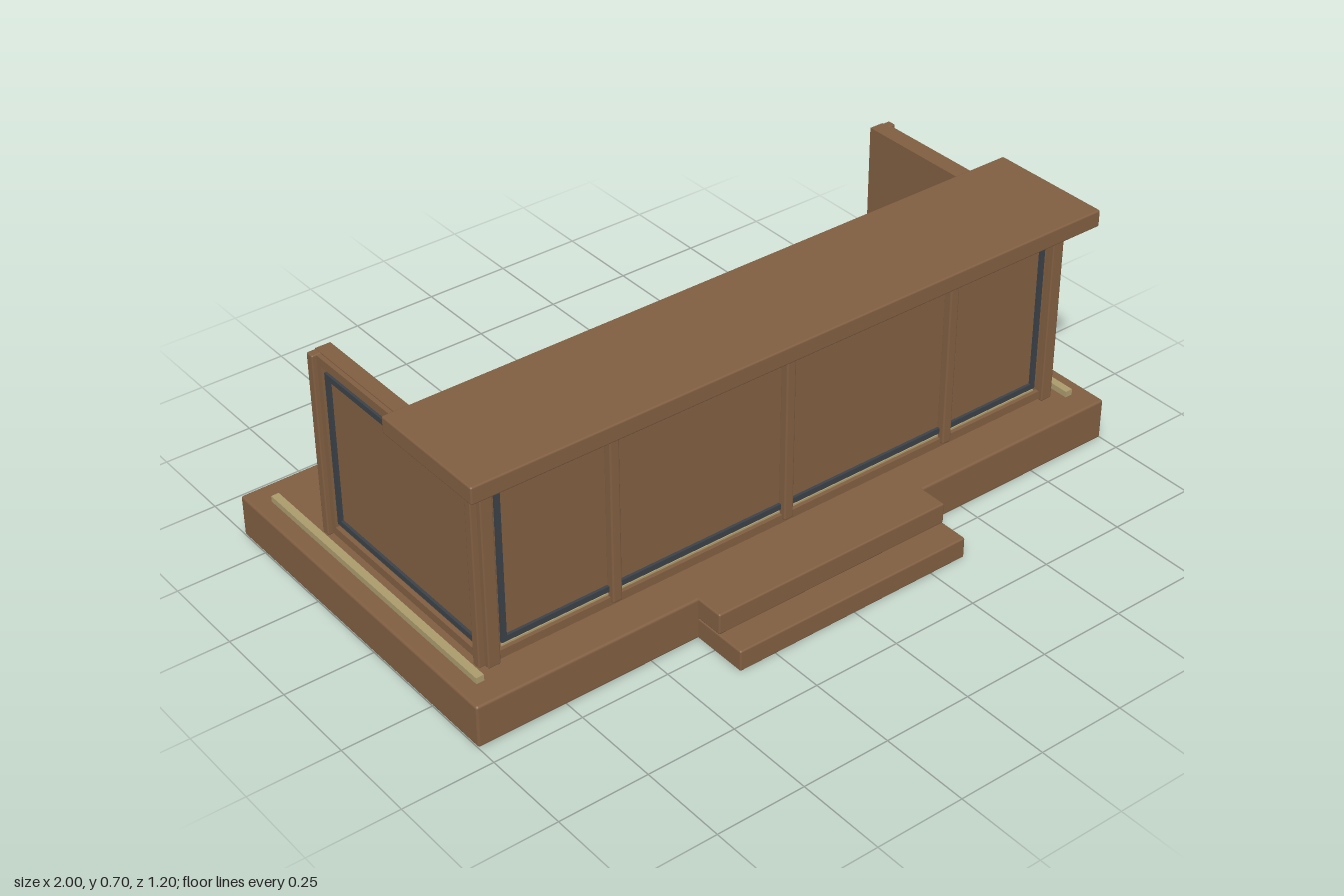
import * as THREE from 'three';
import { RoundedBoxGeometry } from 'three/addons/geometries/RoundedBoxGeometry.js';

export function createModel() {
  const model = new THREE.Group();
  const wood = new THREE.MeshStandardMaterial({ color: 0x805e41 });
  wood.name = 'brown wood';
  const slate = new THREE.MeshStandardMaterial({ color: 0x3b4148 });
  slate.name = 'slate inlay';
  const brass = new THREE.MeshStandardMaterial({ color: 0xaa9a6c });
  brass.name = 'pale brass';

  // box given by its minimum and maximum corners, with an optional rounded edge
  function box(name, mat, [x0, x1], [y0, y1], [z0, z1], r = 0, parent = model) {
    const size = [x1 - x0, y1 - y0, z1 - z0];
    const geo = r ? new RoundedBoxGeometry(...size, 2, r) : new THREE.BoxGeometry(...size);
    const mesh = new THREE.Mesh(geo, mat);
    mesh.position.set((x0 + x1) / 2, (y0 + y1) / 2, (z0 + z1) / 2);
    mesh.name = name;
    parent.add(mesh);
    return mesh;
  }

  // flat rectangular frame facing +z, centred in x
  function frame(name, mat, halfW, y0, y1, wx, wy, z, depth, parent) {
    const shape = new THREE.Shape([
      new THREE.Vector2(-halfW, y0), new THREE.Vector2(halfW, y0),
      new THREE.Vector2(halfW, y1), new THREE.Vector2(-halfW, y1),
    ]);
    shape.holes.push(new THREE.Path([
      new THREE.Vector2(-halfW + wx, y0 + wy), new THREE.Vector2(-halfW + wx, y1 - wy),
      new THREE.Vector2(halfW - wx, y1 - wy), new THREE.Vector2(halfW - wx, y0 + wy),
    ]));
    const mesh = new THREE.Mesh(new THREE.ExtrudeGeometry(shape, { depth, bevelEnabled: false }), mat);
    mesh.position.z = z;
    mesh.name = name;
    parent.add(mesh);
  }

  // platform, steps and counter top
  box('platform', wood, [-1, 1], [0, 0.12], [-0.6, 0.44], 0.007);
  box('lowerStep', wood, [-0.36, 0.36], [0, 0.06], [0.42, 0.6], 0.005);
  box('upperStep', wood, [-0.36, 0.36], [0.06, 0.12], [0.42, 0.52], 0.005);
  box('counterTop', wood, [-0.96, 0.96], [0.648, 0.696], [0.05, 0.405], 0.005);

  // front wall with frame, inlay and battens
  const front = new THREE.Group();
  front.name = 'frontWall';
  model.add(front);
  box('frontPanel', wood, [-0.89, 0.89], [0.12, 0.648], [0.27, 0.322], 0, front);
  frame('frontFrame', wood, 0.885, 0.125, 0.645, 0.022, 0.024, 0.322, 0.013, front);
  frame('frontInlay', slate, 0.85, 0.163, 0.606, 0.014, 0.016, 0.322, 0.008, front);
  box('frontTrim', brass, [-0.85, 0.85], [0.151, 0.156], [0.322, 0.326], 0, front);
  for (const x of [-0.527, 0, 0.527]) {
    box('batten', wood, [x - 0.014, x + 0.014], [0.135, 0.642], [0.318, 0.345], 0.005, front);
  }

  // side walls, floor strips and corner posts, mirrored
  for (const s of [-1, 1]) {
    const span = (a, b) => (s > 0 ? [a, b] : [-b, -a]);
    const label = s > 0 ? 'left' : 'right';
    box(label + 'SidePanel', wood, span(0.85, 0.892), [0.12, 0.648], [-0.345, 0.32]);
    const trim = new THREE.Group();
    trim.name = label + 'SideTrim';
    trim.rotation.y = s * Math.PI / 2;
    model.add(trim);
    frame('sideFrame', wood, 0.322, 0.125, 0.645, 0.018, 0.024, 0.892, 0.012, trim);
    frame('sideInlay', slate, 0.298, 0.163, 0.606, 0.016, 0.016, 0.892, 0.008, trim);
    box(label + 'BackPost', wood, span(0.885, 0.917), [0.12, 0.647], [-0.345, -0.32], 0.004);
    box(label + 'FrontPost', wood, span(0.885, 0.917), [0.12, 0.647], [0.305, 0.33], 0.004);
    box(label + 'CornerPost', wood, span(0.865, 0.9), [0.12, 0.647], [0.31, 0.345], 0.004);
    box(label + 'FloorStrip', brass, span(0.93, 0.952), [0.118, 0.137], [-0.53, 0.37]);
  }
  return model;
}
